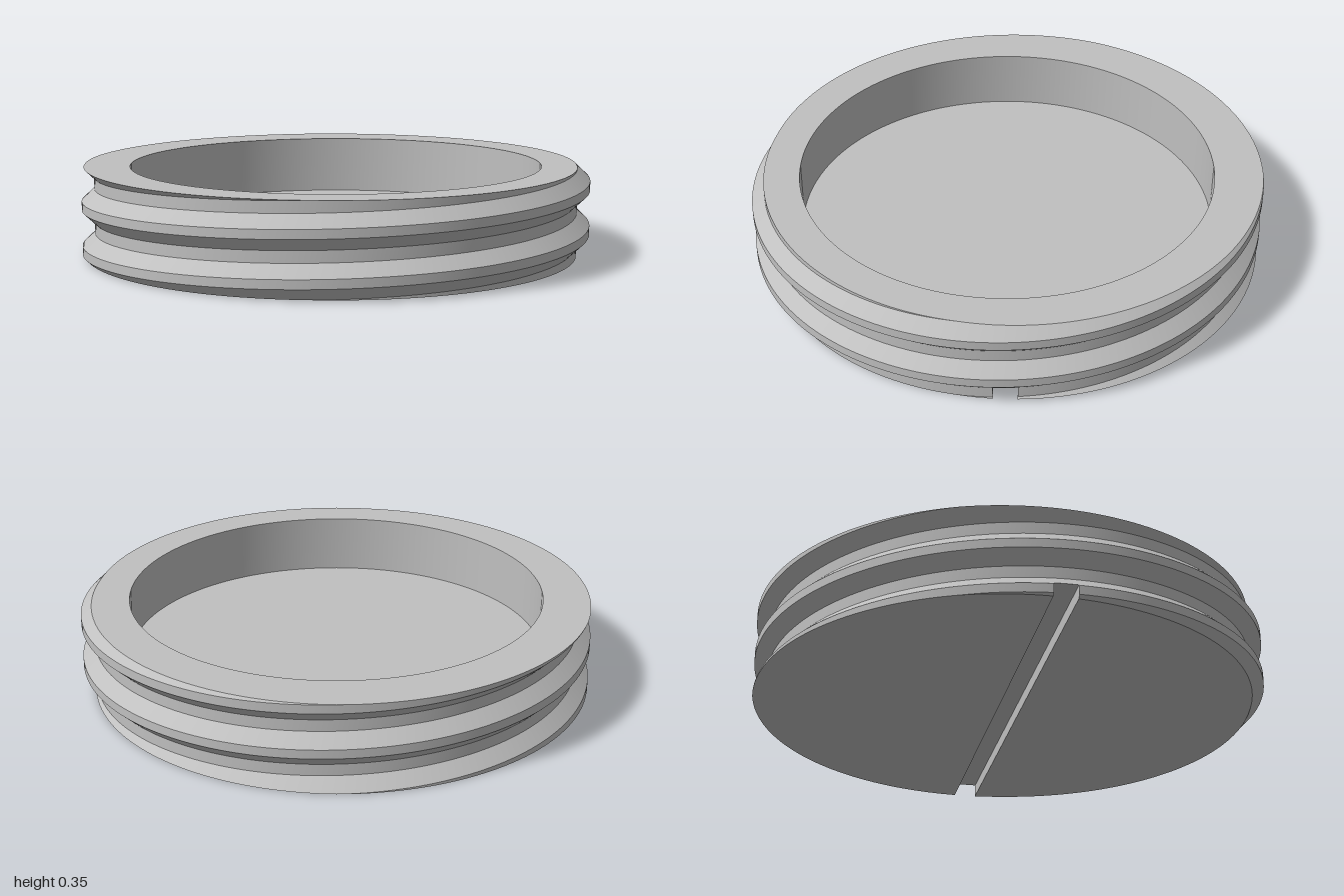
import * as THREE from 'three';
import { toCreasedNormals } from 'three/addons/utils/BufferGeometryUtils.js';

const H = 0.35, PITCH = 0.175;             // plug height, thread pitch
const ROOT = 0.95, CREST = 1;              // thread radii
const CREST_HALF = 0.0175, ROOT_START = 0.065;
const BORE = 0.81, FLOOR = 0.12;           // recess radius and floor height
const SLOT = 0.045, SLOT_TOP = 0.05;       // slot half width and depth

const crestY = (t) => 0.0716 + PITCH * t / (2 * Math.PI);

// Thread radius at an angle and height
function radius(t, y) {
  const p = (y - crestY(t)) / PITCH;
  const d = Math.abs(p - Math.round(p)) * PITCH;
  const k = THREE.MathUtils.clamp((d - CREST_HALF) / (ROOT_START - CREST_HALF), 0, 1);
  return THREE.MathUtils.lerp(CREST, ROOT, k);
}

const polar = (t, r, y) => new THREE.Vector3(r * Math.sin(t), y, r * Math.cos(t));

// Point on the threaded skin; points at the slot edges land exactly on them
function skin(t, y) {
  const r = radius(t, y), v = polar(t, r, y);
  if (Math.abs(Math.abs(v.z) - SLOT) < 0.003) {
    v.z = Math.sign(v.z) * SLOT;
    v.x = Math.sign(v.x) * Math.sqrt(r * r - SLOT * SLOT);
  }
  return v;
}

// Collects triangles and turns them into a mesh
class Surface {
  constructor() { this.data = []; }
  tri(a, b, c) {
    const area = b.clone().sub(a).cross(c.clone().sub(a)).length();
    if (area > 1e-9) for (const v of [a, b, c]) this.data.push(v.x, v.y, v.z);
  }
  quad(a, b, c, d) { this.tri(a, b, c); this.tri(a, c, d); }
  mesh(name, material) {
    const g = new THREE.BufferGeometry();
    g.setAttribute('position', new THREE.Float32BufferAttribute(this.data, 3));
    const m = new THREE.Mesh(toCreasedNormals(g, 0.35), material);
    m.name = name;
    return m;
  }
}

export function createModel() {
  const group = new THREE.Group();
  group.name = 'threadedPlug';
  const metal = new THREE.MeshStandardMaterial({ color: 0xc0c0c0 });
  metal.name = 'greyMetal';

  const thread = new Surface(), rim = new Surface(), recessWall = new Surface();
  const recessFloor = new Surface(), base = new Surface(), slot = new Surface();

  // Sectors: two narrow ones at the slot ends, two wide ones between them
  const a = Math.asin(SLOT / 0.975), q = Math.PI / 2;
  const sectors = [
    { from: q - a, to: q + a, n: 4, cut: true },
    { from: q + a, to: 3 * q - a, n: 92, cut: false },
    { from: 3 * q - a, to: 3 * q + a, n: 4, cut: true },
    { from: 3 * q + a, to: 5 * q - a, n: 92, cut: false },
  ];

  // Helical edges of the thread, as height offsets from the crest line
  const edges = [];
  for (let k = -4; k <= 4; k++) {
    for (const o of [-ROOT_START, -CREST_HALF, CREST_HALF, ROOT_START]) edges.push(k * PITCH + o);
  }

  const ceiling = [];
  for (const { from, to, n, cut } of sectors) {
    const low = cut ? SLOT_TOP : 0;
    const at = (t, e) => skin(t, THREE.MathUtils.clamp(crestY(t) + e, low, H));
    const mid = new THREE.Vector3(0, 0, Math.sign(Math.cos((from + to) / 2)) * SLOT);
    const centre = new THREE.Vector3(0, FLOOR, 0);
    for (let i = 0; i < n; i++) {
      const t0 = from + (to - from) * i / n, t1 = from + (to - from) * (i + 1) / n;
      for (let j = 0; j < edges.length - 1; j++) {
        thread.quad(at(t0, edges[j]), at(t1, edges[j]), at(t1, edges[j + 1]), at(t0, edges[j + 1]));
      }
      const in0 = polar(t0, BORE, H), in1 = polar(t1, BORE, H);
      const fl0 = polar(t0, BORE, FLOOR), fl1 = polar(t1, BORE, FLOOR);
      rim.quad(in0, skin(t0, H), skin(t1, H), in1);
      recessWall.quad(fl1, fl0, in0, in1);
      recessFloor.tri(centre, fl0, fl1);
      if (!cut) base.tri(mid, skin(t1, 0), skin(t0, 0));
      else ceiling.push(skin(t0, SLOT_TOP));
    }
    if (cut) ceiling.push(skin(to, SLOT_TOP));
  }

  // Slot ceiling, seen from below
  const top = new THREE.Vector3(0, SLOT_TOP, 0);
  ceiling.forEach((p, i) => slot.tri(top, ceiling[(i + 1) % ceiling.length], p));

  // Slot side walls, whose ends follow the thread
  for (const s of [1, -1]) {
    const right = s > 0 ? q - a : q + a, left = s > 0 ? 3 * q + a : 3 * q - a;
    for (let i = 0; i < 8; i++) {
      const y0 = SLOT_TOP * i / 8, y1 = SLOT_TOP * (i + 1) / 8;
      const p = [skin(left, y0), skin(left, y1), skin(right, y1), skin(right, y0)];
      if (s < 0) p.reverse();
      slot.quad(...p);
    }
  }

  group.add(
    thread.mesh('thread', metal),
    rim.mesh('topRim', metal),
    recessWall.mesh('recessWall', metal),
    recessFloor.mesh('recessFloor', metal),
    base.mesh('base', metal),
    slot.mesh('driverSlot', metal),
  );
  return group;
}
